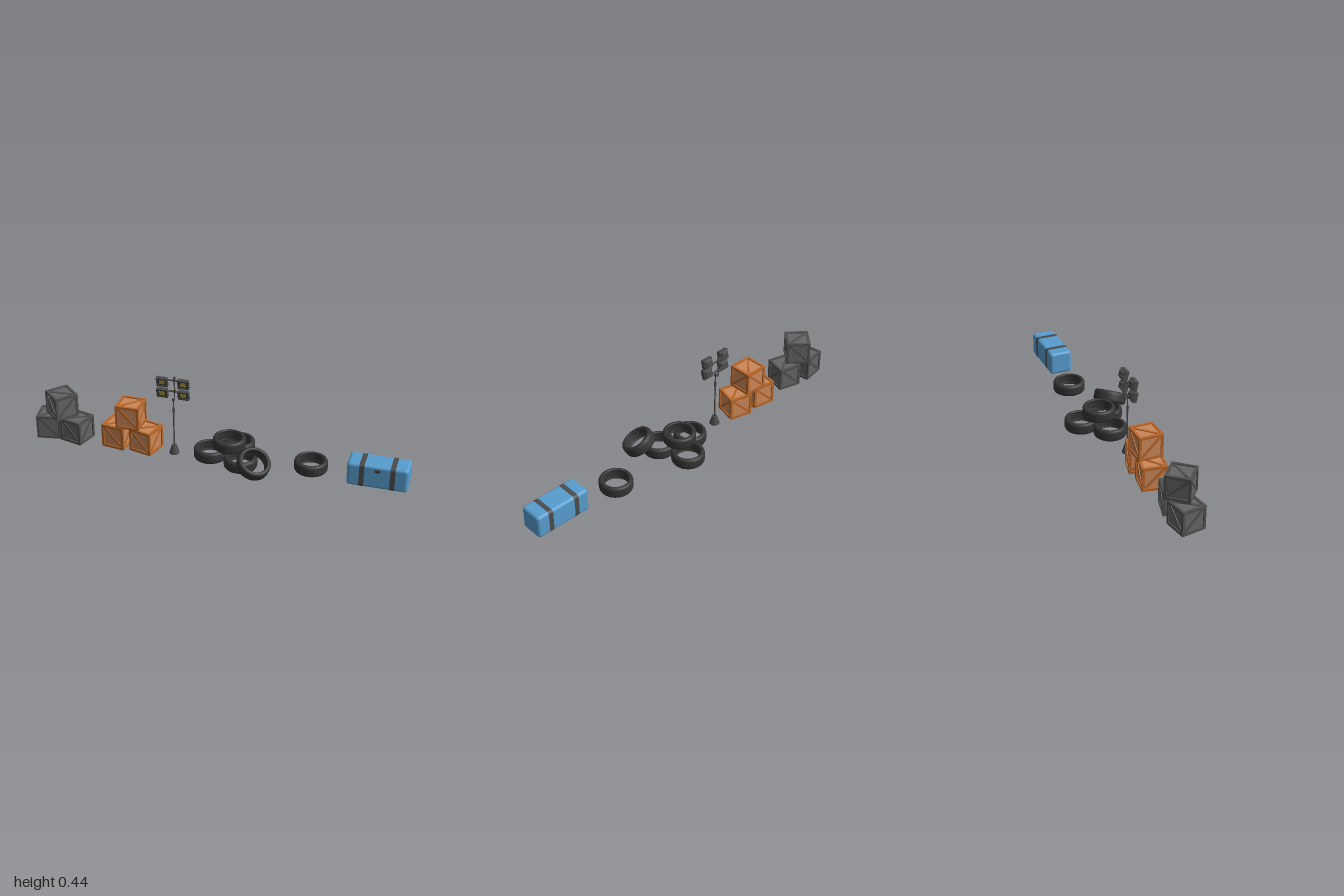
import * as THREE from 'three';
import { RoundedBoxGeometry } from 'three/addons/geometries/RoundedBoxGeometry.js';

const mat = (name, color, side = THREE.FrontSide) => {
  const m = new THREE.MeshStandardMaterial({ color, side });
  m.name = name;
  return m;
};

export function createModel() {
  const model = new THREE.Group();
  const orangeFrame = mat('orange frame', 0xb8672b);
  const orangePanel = mat('orange panel', 0xcb8759);
  const greyFrame = mat('grey frame', 0x505050);
  const greyPanel = mat('grey panel', 0x646464);
  const rubber = mat('rubber', 0x353535);
  const metal = mat('dark metal', 0x4b4b4b);
  const lampYellow = mat('lamp yellow', 0xb5a53a);
  const blue = mat('blue plastic', 0x579dcf);

  const add = (parent, name, geo, material, x = 0, y = 0, z = 0) => {
    const m = new THREE.Mesh(geo, material);
    m.name = name;
    m.position.set(x, y, z);
    parent.add(m);
    return m;
  };
  const group = (parent, name, x = 0, y = 0, z = 0) => {
    const g = new THREE.Group();
    g.name = name;
    g.position.set(x, y, z);
    parent.add(g);
    return g;
  };
  const box = (w, h, d) => new THREE.BoxGeometry(w, h, d);

  // Crates: recessed panels, twelve edge beams and a diagonal brace on each side
  const S = 0.128, B = 0.013, E = (S - B) / 2;
  const coreGeo = box(S - 0.012, S - 0.012, S - 0.012);
  const braceGeo = box(0.138, 0.012, 0.004);
  const crate = (name, x, y, z, deg, frame, panel) => {
    const g = group(model, name, x, y + S / 2, z);
    g.rotation.y = THREE.MathUtils.degToRad(deg);
    add(g, 'panels', coreGeo, panel);
    for (const a of [-E, E]) for (const b of [-E, E]) {
      add(g, 'upright', box(B, S, B), frame, a, 0, b);
      add(g, 'railX', box(S - 2 * B, B, B), frame, 0, a, b);
      add(g, 'railZ', box(B, B, S - 2 * B), frame, a, b, 0);
    }
    const q = Math.PI / 2;
    [[0, 0, -1], [0, q, 1], [0, 2 * q, -1], [0, -q, 1], [q, 0, 1], [-q, 0, 1]].forEach(([rx, ry, s]) => {
      const side = group(g, 'side');
      side.rotation.set(rx, ry, 0);
      add(side, 'brace', braceGeo, frame, 0, 0, 0.0595).rotation.z = s * Math.PI / 4;
    });
  };
  const y0 = 0.006, y1 = y0 + S;
  crate('greyCrateLeft', -0.928, y0, 0.0, 9, greyFrame, greyPanel);
  crate('greyCrateRight', -0.773, y0, 0.013, -15, greyFrame, greyPanel);
  crate('greyCrateTop', -0.857, y1, 0.003, -41, greyFrame, greyPanel);
  crate('orangeCrateLeft', -0.545, y0, 0.002, -9, orangeFrame, orangePanel);
  crate('orangeCrateRight', -0.385, y0, 0.012, -15, orangeFrame, orangePanel);
  crate('orangeCrateTop', -0.469, y1, 0.005, 0, orangeFrame, orangePanel);

  // Tyres: closed rounded profile spun round the axle
  const half = [
    [0.068, 0.018], [0.066, 0.022], [0.064, 0.026], [0.066, 0.0295], [0.07, 0.031],
    [0.076, 0.0305], [0.082, 0.027], [0.0855, 0.021], [0.0865, 0.012],
  ];
  const profile = [...half, ...half.slice().reverse().map(([r, y]) => [r, -y]), half[0]]
    .map(([r, y]) => new THREE.Vector2(r, y)).reverse();
  const tyreGeo = new THREE.LatheGeometry(profile, 40);
  const tyreMat = rubber;
  tyreMat.side = THREE.DoubleSide;
  const tyre = (name, x, y, z) => add(model, name, tyreGeo, tyreMat, x, y, z);
  tyre('tyreLeft', -0.038, 0.036, 0.0);
  tyre('tyreBack', 0.083, 0.036, -0.113);
  tyre('tyreFront', 0.137, 0.036, 0.048);
  tyre('tyreTop', 0.058, 0.098, -0.022);
  tyre('tyreSingle', 0.49, 0.036, -0.023);
  // Tyre leaning on the pile
  tyre('tyreLeaning', 0.222, 0.07, 0.109).quaternion.setFromUnitVectors(
    new THREE.Vector3(0, 1, 0), new THREE.Vector3(0.38, 0.85, 0.36).normalize());

  // Work light: weighted foot, mast, cranked arm and four lamps
  const light = group(model, 'workLight', -0.231, 0, 0.012);
  const cyl = (name, rt, rb, ya, yb, z = 0, n = 16) =>
    add(light, name, new THREE.CylinderGeometry(rt, rb, yb - ya, n), metal, 0, (ya + yb) / 2, z);
  cyl('footRim', 0.026, 0.027, 0.004, 0.012);
  cyl('foot', 0.013, 0.025, 0.012, 0.052);
  cyl('lowerMast', 0.0038, 0.0038, 0.05, 0.25);
  cyl('collar', 0.006, 0.006, 0.245, 0.272);
  cyl('upperMast', 0.003, 0.003, 0.27, 0.315);
  add(light, 'mastHead', box(0.012, 0.014, 0.011), metal, 0, 0.318, 0);
  const arm = new THREE.CatmullRomCurve3([
    [0.317, 0], [0.317, -0.012], [0.32, -0.017], [0.327, -0.02], [0.36, -0.02], [0.43, -0.02],
  ].map(([y, z]) => new THREE.Vector3(0, y, z)), false, 'centripetal');
  add(light, 'arm', new THREE.TubeGeometry(arm, 32, 0.0033, 10), metal);
  add(light, 'armCap', box(0.011, 0.009, 0.011), metal, 0, 0.433, -0.02);

  // Tapered lamp back: narrow end faces backward
  const backGeo = new THREE.CylinderGeometry(0.037, 0.024, 0.012, 4, 1).rotateY(Math.PI / 4).rotateX(Math.PI / 2);
  backGeo.scale(1, 0.86, 1);
  const flatBack = backGeo.toNonIndexed();
  flatBack.computeVertexNormals();
  for (const y of [0.356, 0.418]) {
    add(light, 'crossbar', box(0.12, 0.006, 0.006), metal, 0, y, -0.018);
    add(light, 'clamp', box(0.012, 0.013, 0.011), metal, 0, y, -0.02);
    for (const x of [-0.0565, 0.0565]) {
      const lamp = group(light, 'lamp', x, y - 0.001, 0.003);
      lamp.rotation.x = 0.25;
      add(lamp, 'housing', box(0.058, 0.052, 0.015), metal);
      add(lamp, 'housingBack', flatBack, metal, 0, 0, -0.0135);
      for (const s of [-1, 1]) {
        add(lamp, 'rimSide', box(0.007, 0.052, 0.005), metal, s * 0.0255, 0, 0.01);
        add(lamp, 'rimEdge', box(0.044, 0.007, 0.005), metal, 0, s * 0.0225, 0.01);
      }
      add(lamp, 'reflector', box(0.044, 0.038, 0.001), rubber, 0, 0, 0.008);
      add(lamp, 'lens', box(0.029, 0.023, 0.002), lampYellow, 0, 0, 0.009);
    }
  }

  // Storage case with two straps and a latch
  const chest = group(model, 'storageCase', 0.842, 0.07, 0.007);
  add(chest, 'body', new RoundedBoxGeometry(0.308, 0.128, 0.125, 4, 0.016), blue);
  for (const x of [-0.079, 0.076]) {
    add(chest, 'strap', new RoundedBoxGeometry(0.025, 0.1295, 0.1265, 4, 0.0125)
      .scale(1, 1, 1), metal, x).geometry = strapGeometry();
  }
  add(chest, 'latch', box(0.03, 0.015, 0.008), metal, 0, 0.041, 0.064);
  add(chest, 'latchTab', box(0.014, 0.008, 0.004), rubber, 0, 0.037, 0.067);
  return model;
}

// Flat band following the rounded outline of the case
function strapGeometry() {
  const h = 0.0647, d = 0.0632, r = 0.0165, w = 0.025;
  const s = new THREE.Shape();
  s.moveTo(-d + r, -h).lineTo(d - r, -h);
  s.absarc(d - r, -h + r, r, -Math.PI / 2, 0);
  s.absarc(d - r, h - r, r, 0, Math.PI / 2);
  s.absarc(-d + r, h - r, r, Math.PI / 2, Math.PI);
  s.absarc(-d + r, -h + r, r, Math.PI, Math.PI * 1.5);
  return new THREE.ExtrudeGeometry(s, { depth: w, bevelEnabled: false, curveSegments: 6 })
    .translate(0, 0, -w / 2).rotateY(Math.PI / 2);
}
